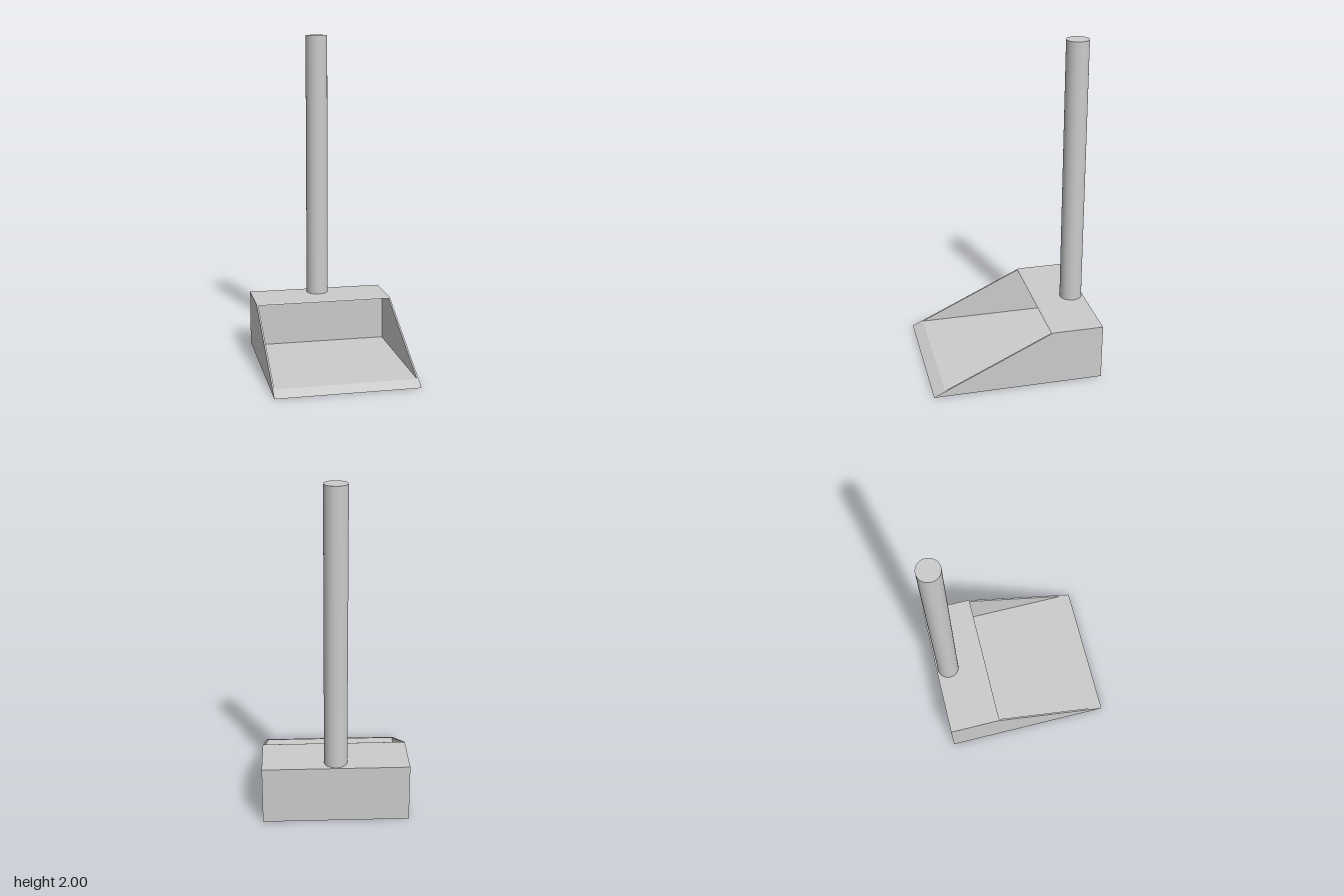
import * as THREE from 'three';

const material = new THREE.MeshStandardMaterial({ color: 0xcccccc });

// Extrudes a side profile given as [z, y] points across x, centred on x.
function crossPiece(name, points, width, x = 0) {
  const shape = new THREE.Shape(points.map(([z, y]) => new THREE.Vector2(z, y)));
  const geometry = new THREE.ExtrudeGeometry(shape, { depth: width, bevelEnabled: false });
  geometry.translate(0, 0, -width / 2).rotateY(-Math.PI / 2);
  const mesh = new THREE.Mesh(geometry, material);
  mesh.name = name;
  mesh.position.x = x;
  return mesh;
}

export function createModel() {
  const model = new THREE.Group();
  model.name = 'dustpan';

  const halfWidth = 0.43, wall = 0.01;
  const front = 0.517, back = -0.517, top = 0.345;
  const hoodFront = -0.207, lipEnd = 0.45, innerBack = -0.36;
  const floorTop = 0.032, floorBottom = 0.022;

  // Sloping lip, raised floor, inner back block and hood in one section
  model.add(crossPiece('pan', [
    [front, 0], [lipEnd, floorTop], [innerBack, floorTop],
    [innerBack, top - wall * 0.5], [hoodFront + wall, top - wall * 0.5],
    [hoodFront, top], [back, top], [back, 0], [back + wall, 0],
    [back + wall, floorBottom], [lipEnd, floorBottom], [lipEnd, 0],
  ], 2 * (halfWidth - wall)));

  // Thin side walls that follow the slope
  for (const [name, side] of [['leftWall', 1], ['rightWall', -1]]) {
    model.add(crossPiece(name, [
      [front, 0], [hoodFront, top], [back, top], [back, 0],
    ], wall, side * (halfWidth - wall / 2)));
  }

  // Upright round handle
  const handleBase = top - 0.005;
  const handle = new THREE.Mesh(
    new THREE.CylinderGeometry(0.068, 0.068, 2 - handleBase, 64), material);
  handle.name = 'handle';
  handle.position.set(0, (2 + handleBase) / 2, -0.44);
  model.add(handle);

  return model;
}
